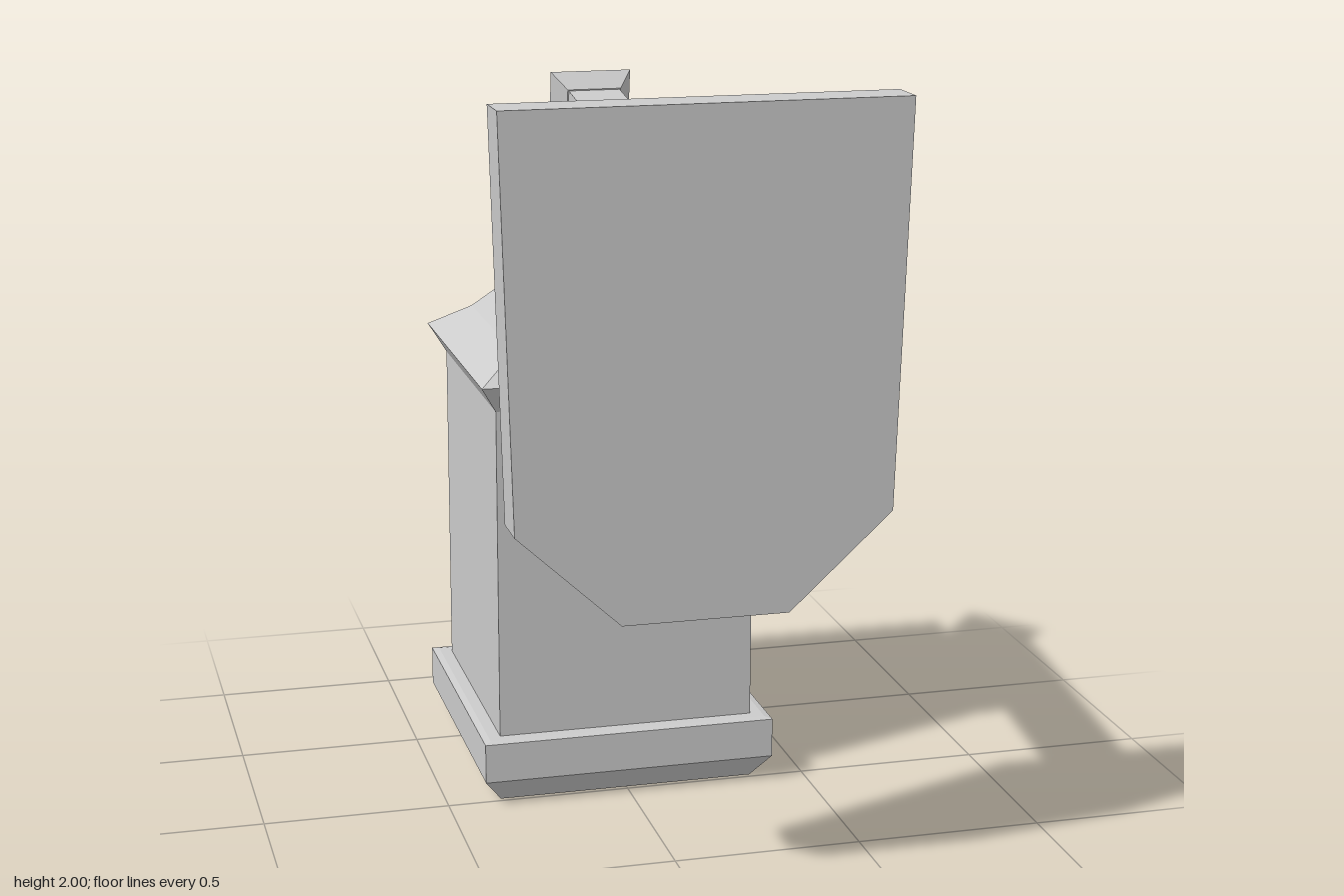
import * as THREE from 'three';

const material = new THREE.MeshStandardMaterial({ color: 0xcccccc, flatShading: true });

// Square solid from [half width, height] pairs, listed bottom to top
function squareLoft(name, profile) {
  const points = profile.map(([half, y]) => new THREE.Vector2(half * Math.SQRT2, y));
  const geometry = new THREE.LatheGeometry(points, 4, Math.PI / 4).toNonIndexed();
  geometry.computeVertexNormals();
  const mesh = new THREE.Mesh(geometry, material);
  mesh.name = name;
  return mesh;
}

export function createModel() {
  const model = new THREE.Group();
  model.name = 'hangingLantern';

  // Wall plaque with a tapered, clipped lower edge
  const outline = [[-0.5, 2], [-0.47, 0.99], [-0.21, 0.75], [0.21, 0.75], [0.47, 0.99], [0.5, 2]];
  const plaqueShape = new THREE.Shape(outline.map(([x, y]) => new THREE.Vector2(x, y)));
  const plaque = new THREE.Mesh(
    new THREE.ExtrudeGeometry(plaqueShape, { depth: 0.113, bevelEnabled: false }), material);
  plaque.name = 'wallPlaque';
  plaque.position.z = 0.66;
  model.add(plaque);

  // Sloping arm and its pointed finial share one tilted axis
  const bracket = new THREE.Group();
  bracket.name = 'bracket';
  bracket.add(
    squareLoft('arm', [[0, -1.035], [0.07, -1.035], [0.07, 0], [0, 0]]),
    squareLoft('finial', [[0, 0], [0.073, 0], [0.11, 0.048], [0, 0.275]]));
  bracket.position.set(-0.007, 1.81, -0.348);
  bracket.rotation.x = 0.146 - Math.PI / 2;
  model.add(bracket);

  // Lantern, stacked from the base up
  const lantern = new THREE.Group();
  lantern.name = 'lantern';
  lantern.add(
    squareLoft('base', [[0, 0], [0.353, 0], [0.403, 0.07], [0.403, 0.178], [0.385, 0.182], [0, 0.182]]),
    squareLoft('body', [[0.353, 0.18], [0.353, 1.1]]),
    squareLoft('roof', [[0, 1.09], [0.353, 1.09], [0.398, 1.165], [0.29, 1.235], [0.21, 1.315], [0, 1.315]]),
    squareLoft('roofPlate', [[0, 1.315], [0.21, 1.315], [0.21, 1.36], [0, 1.36]]),
    squareLoft('cap', [[0, 1.36], [0.125, 1.36], [0.077, 1.52], [0, 1.52]]),
    squareLoft('hangerRod', [[0.015, 1.51], [0.015, 1.76]]));
  lantern.position.z = -0.367;
  model.add(lantern);

  return model;
}
